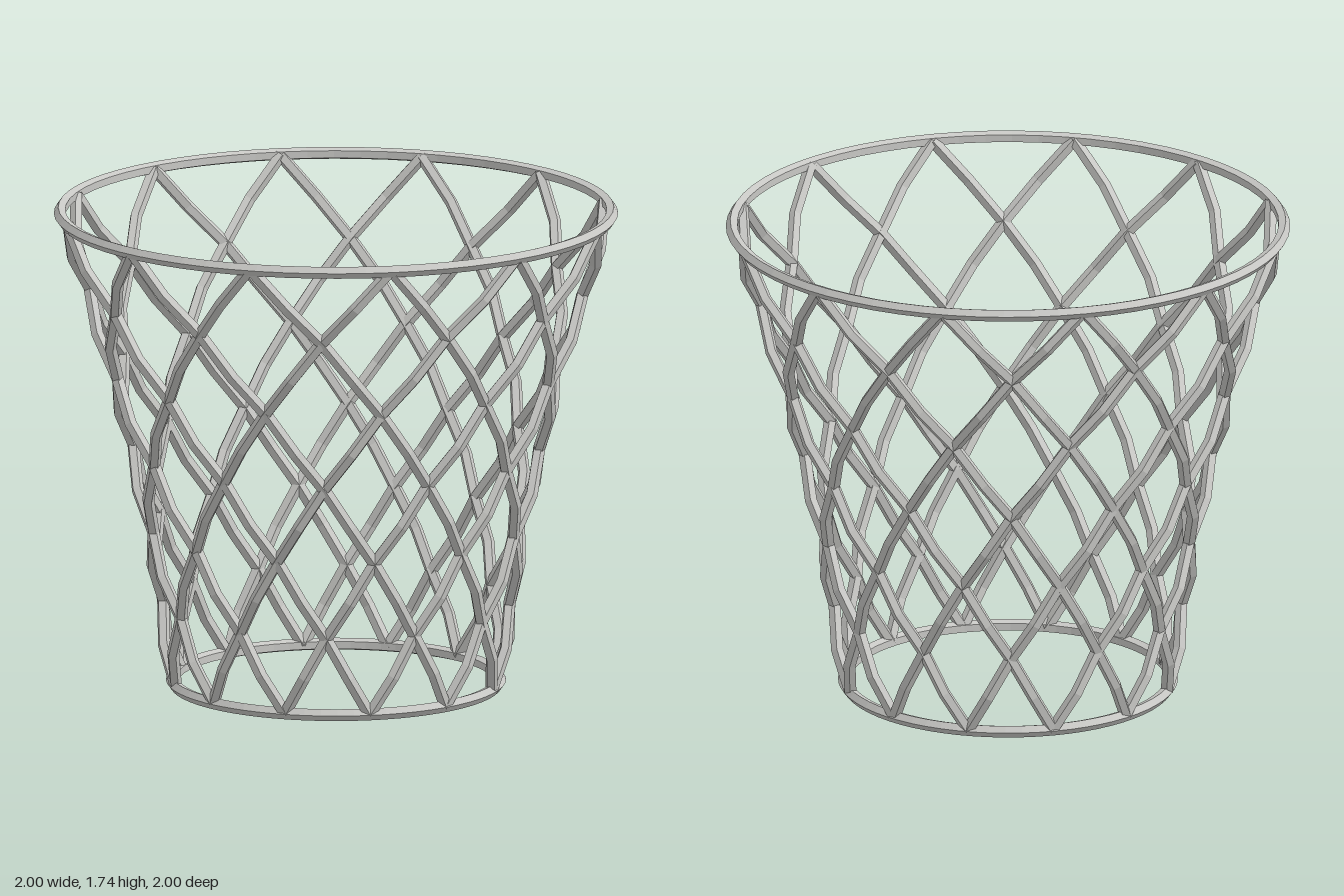
import * as THREE from 'three';

const HEIGHT = 1.735, BAR = 0.0225, STRANDS = 12, SIDES = 5;
const Y0 = 0.021, Y1 = HEIGHT - 0.021;

// Quarter-turn spiral on a flared wall; dir is +1 or -1
class Spiral extends THREE.Curve {
  constructor(start, dir) {
    super();
    this.start = start;
    this.dir = dir;
  }
  getPoint(t, target = new THREE.Vector3()) {
    const a = this.start + this.dir * t * Math.PI / 2;
    // the wire bows outward and sags slightly between its six crossings
    const bow = 0.016 * Math.sin(t * 6 * Math.PI) ** 2;
    const r = 0.58 + 0.17 * t + 0.22 * t * t + bow;
    const y = Y0 + t * (Y1 - Y0) - bow * 0.3;
    return target.set(r * Math.sin(a), y, r * Math.cos(a));
  }
  // even steps in height, so bends land on the crossings
  getPointAt(u, target) { return this.getPoint(u, target); }
  getTangentAt(u, target) { return this.getTangent(u, target); }
}

export function createModel() {
  const model = new THREE.Group();
  model.name = 'wireBasket';
  const metal = new THREE.MeshStandardMaterial({ color: 0xc8c8c5 });
  metal.name = 'light grey metal';
  metal.flatShading = true;

  const add = (geometry, name, parent) => {
    const mesh = new THREE.Mesh(geometry, metal);
    mesh.name = name;
    parent.add(mesh);
    return mesh;
  };

  // Top and bottom hoops
  const hoop = (radius, y, name) => {
    const g = new THREE.TorusGeometry(radius, BAR, SIDES, 64);
    g.rotateX(-Math.PI / 2);
    add(g, name, model).position.y = y;
  };
  hoop(1 - BAR, Y1, 'topRim');
  hoop(0.58, Y0, 'bottomRing');

  // Two families of crossing spiral wires
  for (const dir of [1, -1]) {
    const family = new THREE.Group();
    family.name = dir > 0 ? 'leftTurningWires' : 'rightTurningWires';
    model.add(family);
    for (let i = 0; i < STRANDS; i++) {
      const curve = new Spiral(i * Math.PI * 2 / STRANDS, dir);
      add(new THREE.TubeGeometry(curve, 12, BAR, SIDES), 'wire', family);
    }
  }
  return model;
}
